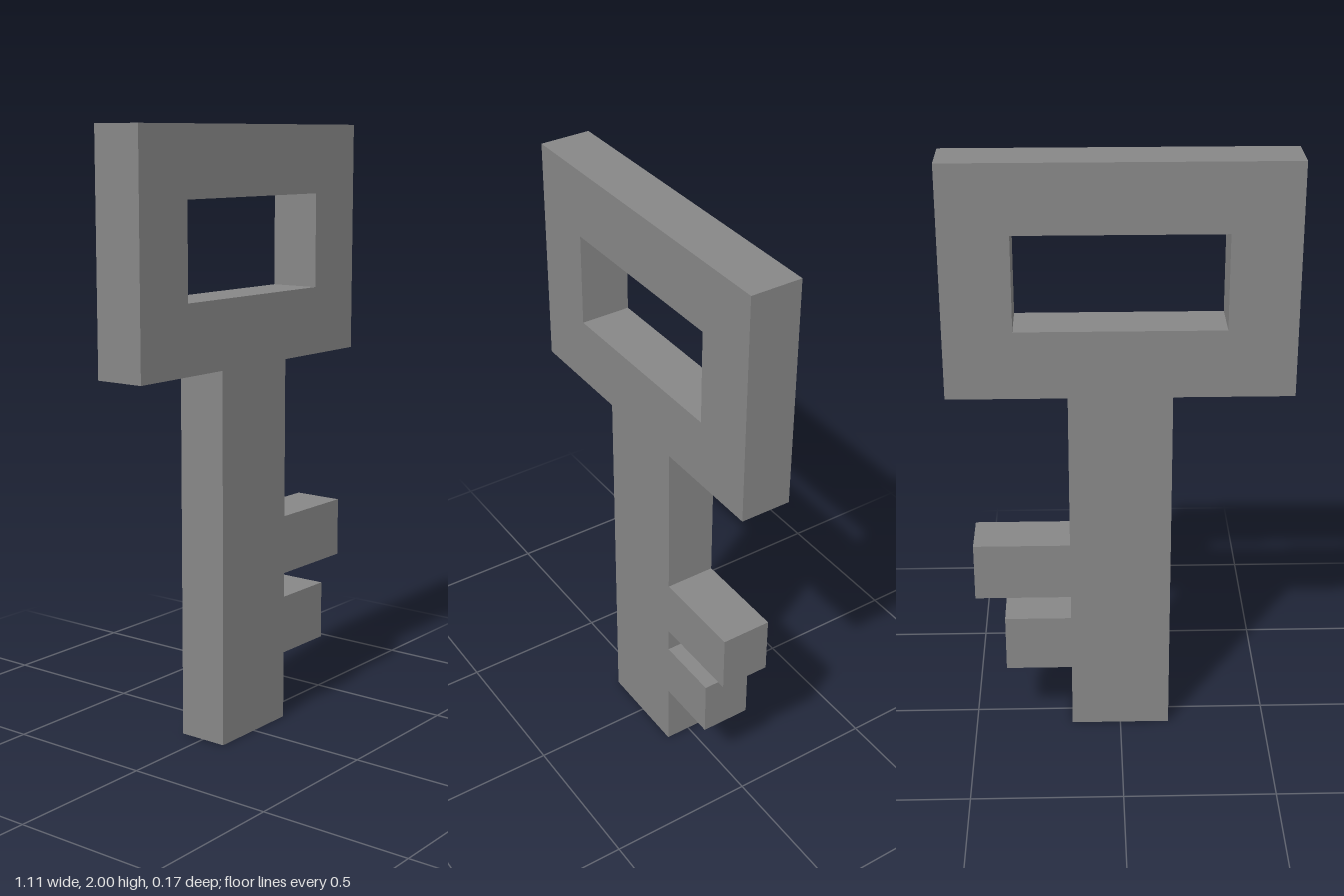
import * as THREE from 'three';

const DEPTH = 0.17;
const HEAD = { x: 0.555, bottom: 1.24, top: 2 };
const HOLE = { x: 0.335, bottom: 1.465, top: 1.776 };
const SHAFT_X = 0.167;
// Teeth on the left side, from bottom to top
const TEETH = [
  { x: 0.39, bottom: 0.23, top: 0.427 },
  { x: 0.487, bottom: 0.51, top: 0.708 },
];

export function createModel() {
  const group = new THREE.Group();
  group.name = 'key';

  // Outline, counter-clockwise from the foot of the shaft
  const outline = new THREE.Shape();
  outline.moveTo(-SHAFT_X, 0);
  outline.lineTo(SHAFT_X, 0);
  for (const { x, bottom, top } of TEETH) {
    outline.lineTo(SHAFT_X, bottom);
    outline.lineTo(x, bottom);
    outline.lineTo(x, top);
    outline.lineTo(SHAFT_X, top);
  }
  outline.lineTo(SHAFT_X, HEAD.bottom);
  outline.lineTo(HEAD.x, HEAD.bottom);
  outline.lineTo(HEAD.x, HEAD.top);
  outline.lineTo(-HEAD.x, HEAD.top);
  outline.lineTo(-HEAD.x, HEAD.bottom);
  outline.lineTo(-SHAFT_X, HEAD.bottom);
  outline.closePath();

  // Rectangular opening in the head
  const hole = new THREE.Path();
  hole.moveTo(-HOLE.x, HOLE.bottom);
  hole.lineTo(-HOLE.x, HOLE.top);
  hole.lineTo(HOLE.x, HOLE.top);
  hole.lineTo(HOLE.x, HOLE.bottom);
  hole.closePath();
  outline.holes.push(hole);

  // Head, shaft and teeth are one flat plate
  const geometry = new THREE.ExtrudeGeometry(outline, { depth: DEPTH, bevelEnabled: false });
  geometry.translate(0, 0, -DEPTH / 2);
  const material = new THREE.MeshStandardMaterial({ color: 0x878787, flatShading: true });
  const plate = new THREE.Mesh(geometry, material);
  plate.name = 'keyPlate';
  group.add(plate);

  return group;
}
